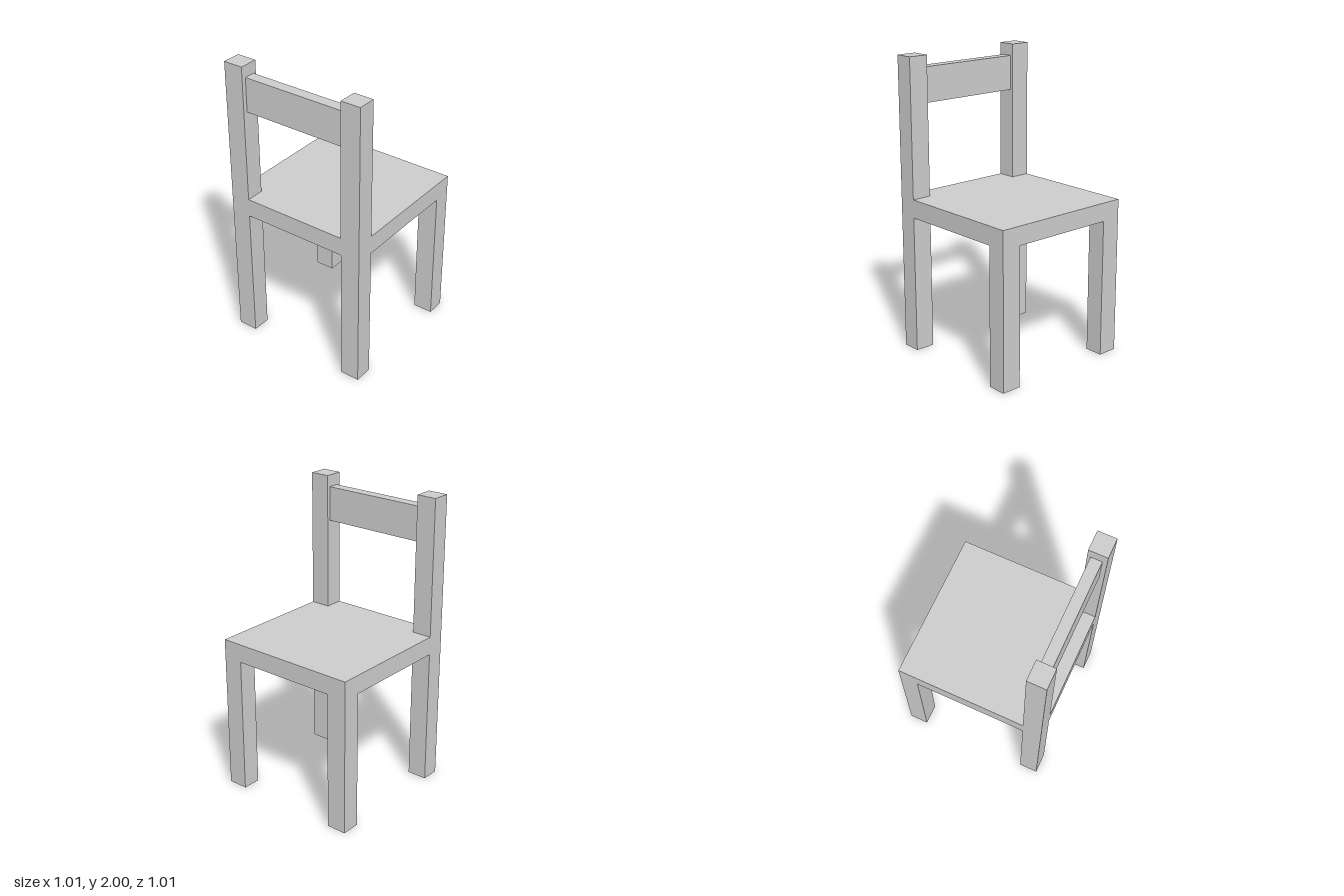
import * as THREE from 'three';

const HALF = 0.505;        // half of the square footprint
const SEAT_BOTTOM = 0.94;
const SEAT_TOP = 1.065;
const LEG_X = 0.127;       // leg section along x
const LEG_Z = 0.137;       // leg section along z

export function createModel() {
  const chair = new THREE.Group();
  chair.name = 'chair';
  const material = new THREE.MeshStandardMaterial({ color: 0xcccccc, flatShading: true });

  // Box given by its lower and upper corners
  function addBox(name, [x0, y0, z0], [x1, y1, z1]) {
    const mesh = new THREE.Mesh(new THREE.BoxGeometry(x1 - x0, y1 - y0, z1 - z0), material);
    mesh.position.set((x0 + x1) / 2, (y0 + y1) / 2, (z0 + z1) / 2);
    mesh.name = name;
    chair.add(mesh);
  }

  // Square seat slab
  addBox('seat', [-HALF, SEAT_BOTTOM, -HALF], [HALF, SEAT_TOP, HALF]);

  // Legs under the seat and back posts above it, one pair per side
  for (const [side, z0] of [['Left', -HALF], ['Right', HALF - LEG_Z]]) {
    const z1 = z0 + LEG_Z;
    addBox('frontLeg' + side, [HALF - LEG_X, 0, z0], [HALF, SEAT_BOTTOM, z1]);
    addBox('backLeg' + side, [-HALF, 0, z0], [-HALF + LEG_X, SEAT_BOTTOM, z1]);
    addBox('backPost' + side, [-HALF, SEAT_TOP, z0], [-HALF + LEG_X, 2, z1]);
  }

  // Backrest rail between the posts
  const railEnd = HALF - LEG_Z;
  addBox('backRail', [-0.475, 1.685, -railEnd], [-0.4, 1.92, railEnd]);

  return chair;
}
